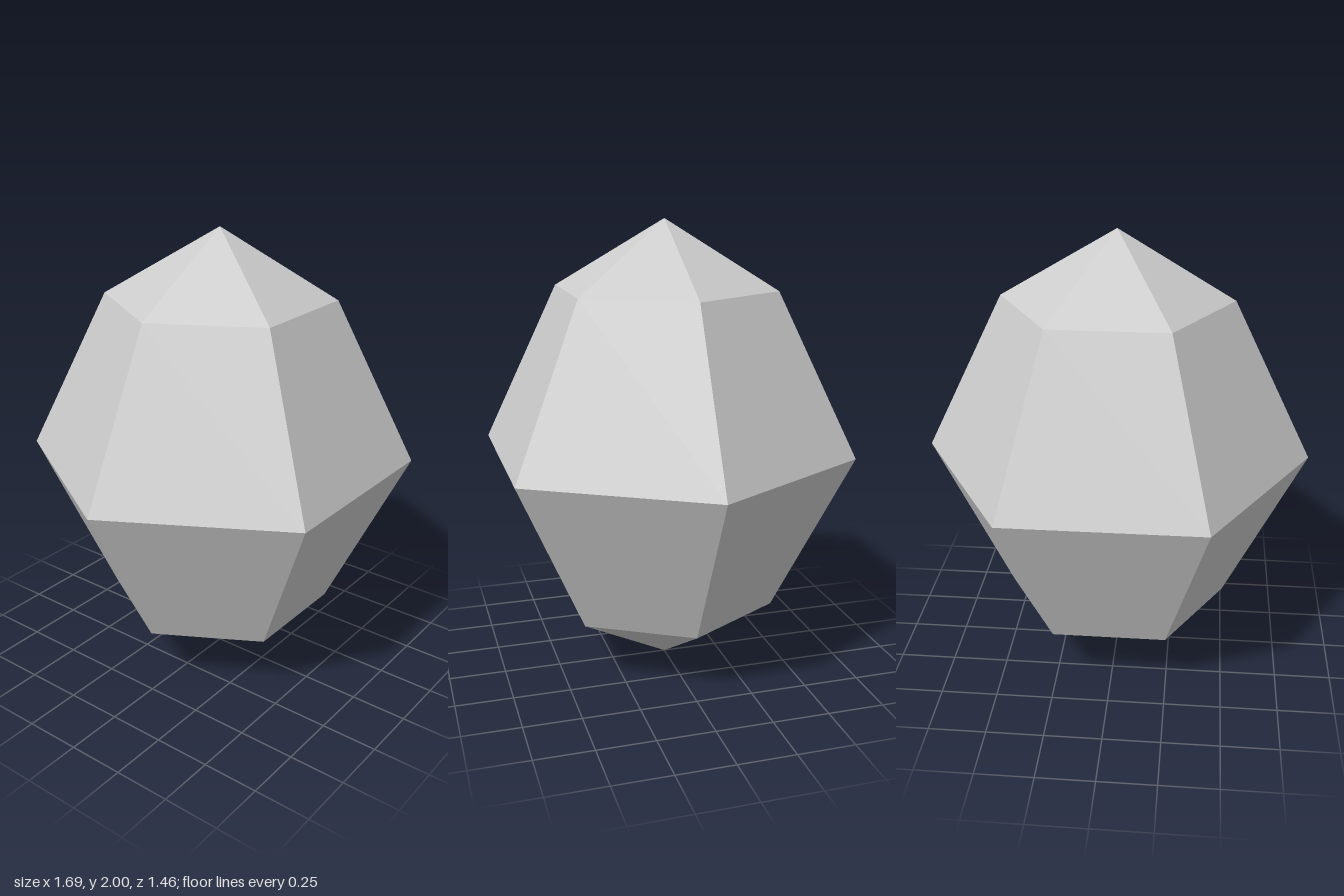
import * as THREE from 'three';

export function createModel() {
  const group = new THREE.Group();
  group.name = 'facetedGem';

  const stone = new THREE.MeshStandardMaterial({ color: 0xcccccc });
  stone.name = 'pale grey stone';

  // Half profile from the bottom tip to the top tip
  const profile = [
    [0, 0], [0.495, 0.293], [0.845, 1], [0.495, 1.707], [0, 2],
  ].map(([r, y]) => new THREE.Vector2(r, y));

  // Six-sided body with corners on the x axis and flat facets
  const geometry = new THREE.LatheGeometry(profile, 6, Math.PI / 2).toNonIndexed();
  geometry.computeVertexNormals();

  const gem = new THREE.Mesh(geometry, stone);
  gem.name = 'gemBody';
  group.add(gem);
  return group;
}
